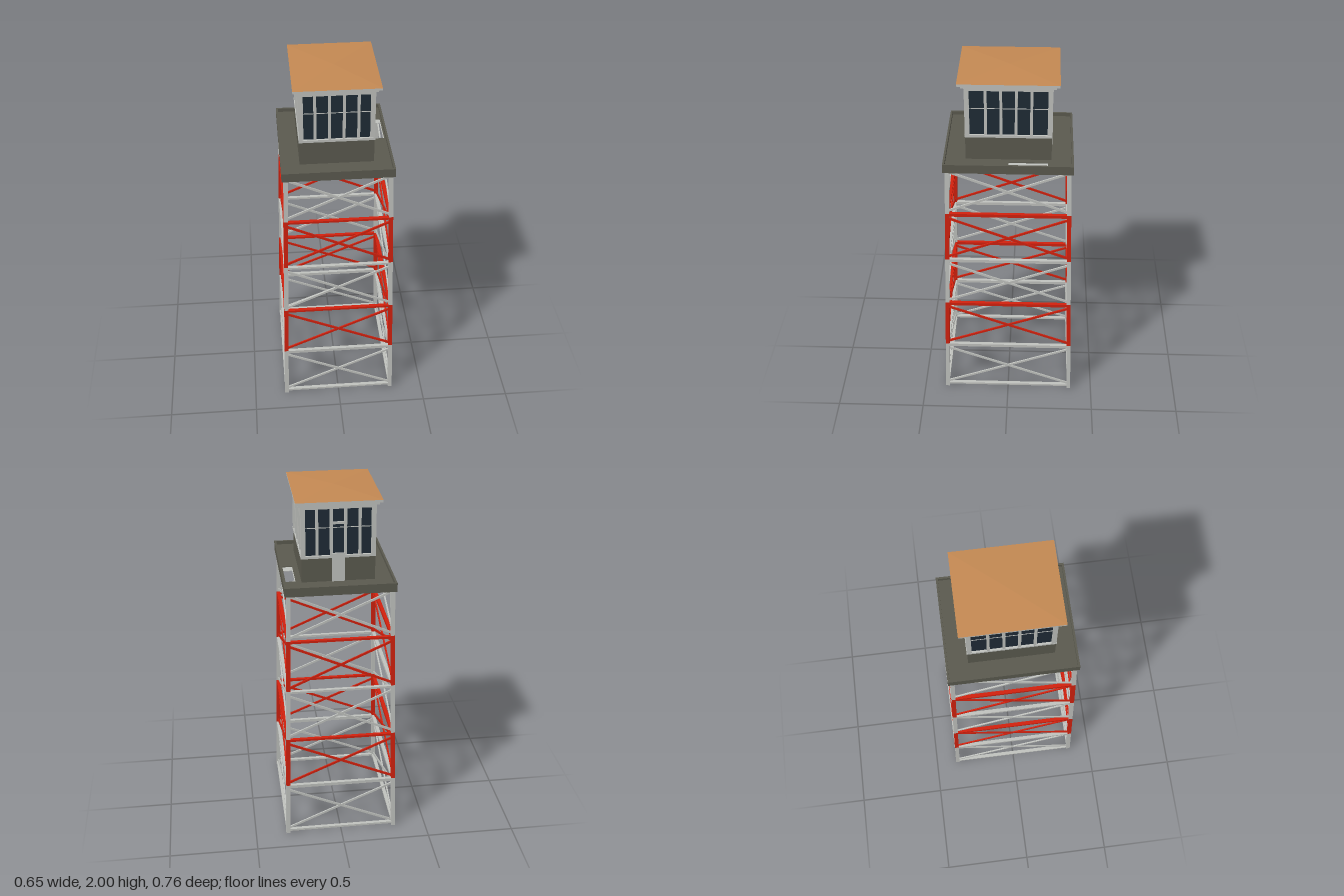
import * as THREE from 'three';

const mat = (name, color) => {
  const m = new THREE.MeshStandardMaterial({ color });
  m.name = name;
  return m;
};

export function createModel() {
  const white = mat('pale grey paint', 0xc0c2be);
  const red = mat('red paint', 0xd2210e);
  const olive = mat('dark olive', 0x5b5a4f);
  const glass = mat('dark glass', 0x1f2b36);
  const tan = mat('tan roof', 0xc48953);

  const model = new THREE.Group();
  model.name = 'lookoutTower';
  const group = (name) => {
    const g = new THREE.Group();
    g.name = name;
    model.add(g);
    return g;
  };
  const add = (parent, name, geo, material) => {
    const m = new THREE.Mesh(geo, material);
    m.name = name;
    parent.add(m);
    return m;
  };
  // Box given by its centre in x and z, and its bottom and top
  const block = (parent, name, material, w, y0, y1, d, x = 0, z = 0) => {
    const m = add(parent, name, new THREE.BoxGeometry(w, y1 - y0, d), material);
    m.position.set(x, (y0 + y1) / 2, z);
  };
  // Straight bar between two points; "side" sets the direction of its width
  const bar = (parent, name, material, a, b, width, thick, side) => {
    const dir = b.clone().sub(a);
    const len = dir.length();
    dir.normalize();
    const n = new THREE.Vector3().crossVectors(side, dir).normalize();
    const s = new THREE.Vector3().crossVectors(n, dir);
    const geo = new THREE.BoxGeometry(width, thick, len);
    geo.applyMatrix4(new THREE.Matrix4().makeBasis(s, n, dir));
    const c = a.clone().add(b).multiplyScalar(0.5);
    add(parent, name, geo, material).position.copy(c);
  };

  // Tower: banded legs, horizontal girts and crossed braces, tapering upward
  const corner = (sx, sz, y) =>
    new THREE.Vector3(sx * (0.313 - 0.023 * y), y, sz * (0.366 - 0.028 * y));
  const X = new THREE.Vector3(1, 0, 0);
  const Z = new THREE.Vector3(0, 0, 1);
  const levels = [0, 0.33, 0.635, 0.94, 1.243, 1.507];
  const faces = [
    [-1, 1, 1, 1, Z], [1, -1, -1, -1, Z],
    [1, 1, 1, -1, X], [-1, -1, -1, 1, X],
  ];
  for (let i = 0; i < 5; i++) {
    const bay = group('towerBay' + (i + 1));
    const paint = i % 2 ? red : white;
    const y0 = levels[i], y1 = levels[i + 1];
    for (const sx of [-1, 1]) for (const sz of [-1, 1]) {
      bar(bay, 'leg', paint, corner(sx, sz, y0), corner(sx, sz, y1), 0.023, 0.023, X);
    }
    for (const [ax, az, bx, bz, out] of faces) {
      const lo = y0 + (i === 0 ? 0.03 : 0.012);
      const hi = y1 - (i === 4 ? 0.005 : 0.034);
      bar(bay, 'brace', paint, corner(ax, az, lo), corner(bx, bz, hi), 0.008, 0.012, out);
      bar(bay, 'brace', paint, corner(ax, az, hi), corner(bx, bz, lo), 0.008, 0.012, out);
      if (i < 4) {
        const y = y1 - 0.01;
        const tall = out === X || i === 0 ? 0.018 : 0.012;
        bar(bay, 'girt', paint, corner(ax, az, y), corner(bx, bz, y), 0.02, tall, out);
      }
      if (i === 0) {
        bar(bay, 'baseGirt', paint, corner(ax, az, 0.02), corner(bx, bz, 0.02), 0.02, 0.012, out);
      }
    }
  }

  // Platform: raised rim, deck and underside, with a hatch opening
  const rect = (C, x0, x1, z0, z1) => {
    const s = new C();
    s.moveTo(x0, -z1).lineTo(x1, -z1).lineTo(x1, -z0).lineTo(x0, -z0).closePath();
    return s;
  };
  const slab = (parent, name, material, hw, hd, hole, y0, y1) => {
    const s = rect(THREE.Shape, -hw, hw, -hd, hd);
    s.holes.push(rect(THREE.Path, ...hole));
    const geo = new THREE.ExtrudeGeometry(s, { depth: y1 - y0, bevelEnabled: false });
    geo.rotateX(-Math.PI / 2).translate(0, y0, 0);
    add(parent, name, geo, material);
  };
  const platform = group('platform');
  const hatch = [0.228, 0.282, -0.21, 0];
  slab(platform, 'rim', olive, 0.3, 0.347, [-0.289, 0.289, -0.336, 0.336], 1.505, 1.555);
  slab(platform, 'deck', olive, 0.289, 0.336, hatch, 1.531, 1.535);
  slab(platform, 'underside', white, 0.289, 0.336, hatch, 1.506, 1.509);

  // Cabin: solid lower wall, glazing and window frames
  const cabin = group('cabin');
  block(cabin, 'lowerWall', olive, 0.396, 1.535, 1.67, 0.458);
  block(cabin, 'glazing', glass, 0.38, 1.67, 1.95, 0.44);
  block(cabin, 'sill', white, 0.402, 1.668, 1.682, 0.464);
  block(cabin, 'windowHead', white, 0.4, 1.94, 1.965, 0.462);
  for (const s of [-1, 1]) {
    for (const t of [-1, 1]) {
      block(cabin, 'cornerPost', white, 0.025, 1.68, 1.945, 0.025, s * 0.1875, t * 0.2175);
    }
    for (const x of [-0.114, -0.038, 0.038, 0.114]) {
      block(cabin, 'mullion', white, 0.015, 1.68, 1.945, 0.014, x, s * 0.222);
    }
    for (const z of [-0.12, -0.04, 0.04, 0.12]) {
      block(cabin, 'mullion', white, 0.014, 1.68, 1.945, 0.015, s * 0.192, z);
    }
    block(cabin, 'glazingBar', white, 0.35, 1.833, 1.837, 0.004, 0, s * 0.22);
    block(cabin, 'glazingBar', white, 0.004, 1.833, 1.837, 0.41, s * 0.19, 0);
  }

  // Door in the back wall
  const door = group('door');
  block(door, 'doorPanel', white, 0.07, 1.535, 1.695, 0.008, 0, -0.23);
  block(door, 'doorRail', white, 0.076, 1.855, 1.868, 0.01, 0, -0.223);

  // Roof: stepped eaves and a very shallow hipped top
  const roof = group('roof');
  block(roof, 'eaveMoulding', white, 0.424, 1.96, 1.98, 0.494);
  block(roof, 'eaveSlab', white, 0.456, 1.977, 1.99, 0.53);
  const hip = new THREE.ConeGeometry(Math.SQRT2, 0.01, 4, 1, true);
  hip.rotateY(Math.PI / 4).scale(0.229, 1, 0.266).translate(0, 1.995, 0);
  const flat = hip.toNonIndexed();
  flat.computeVertexNormals();
  add(roof, 'hippedTop', flat, tan);

  return model;
}
